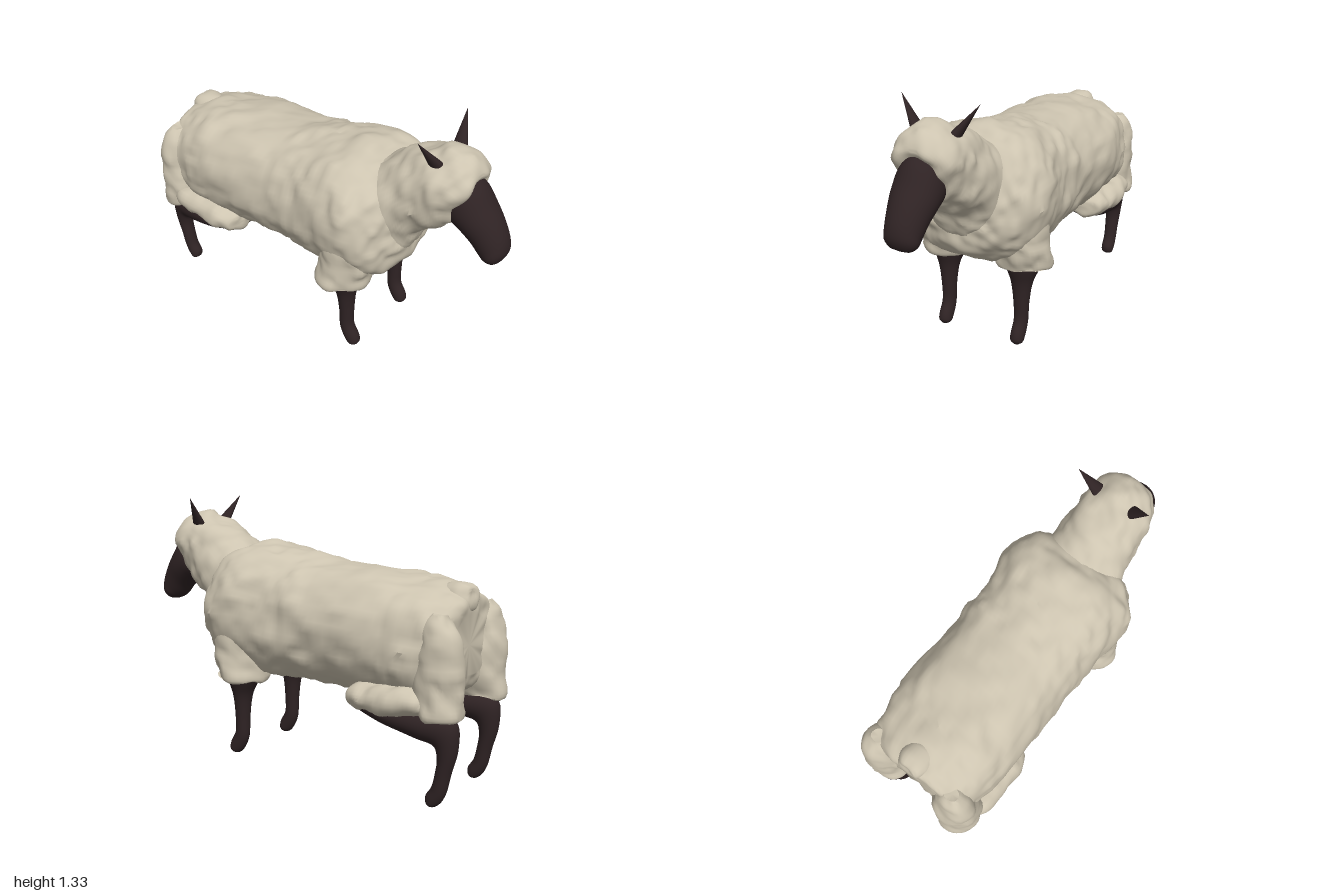
import * as THREE from 'three';
import { toCreasedNormals } from 'three/addons/utils/BufferGeometryUtils.js';

const wool = new THREE.MeshStandardMaterial({ color: 0xcdc4b0 });
wool.name = 'wool';
const skin = new THREE.MeshStandardMaterial({ color: 0x2f2324 });
skin.name = 'dark skin';

// Smooth value noise in -1..1
const hash = (x, y, z) => {
  const s = Math.sin(x * 127.1 + y * 311.7 + z * 74.7) * 43758.5453;
  return s - Math.floor(s);
};
function noise(x, y, z) {
  const f = [x, y, z].map(Math.floor);
  const t = [x - f[0], y - f[1], z - f[2]].map((v) => v * v * (3 - 2 * v));
  let sum = 0;
  for (let k = 0; k < 8; k++) {
    const d = [k & 1, (k >> 1) & 1, k >> 2];
    const w = d.reduce((p, b, i) => p * (b ? t[i] : 1 - t[i]), 1);
    sum += w * hash(f[0] + d[0], f[1] + d[1], f[2] + d[2]);
  }
  return sum * 2 - 1;
}

// Loft through sections [edgeX, edgeY, oppositeX, oppositeY, halfWidth], offset to z
function loft(sections, z = 0, rows = 32, sides = 28, power = 1) {
  const edge = new THREE.CatmullRomCurve3(sections.map((s) => new THREE.Vector3(s[0], s[1], s[4])));
  const opposite = new THREE.CatmullRomCurve3(sections.map((s) => new THREE.Vector3(s[2], s[3], 0)));
  const shaped = (v) => Math.sign(v) * Math.abs(v) ** power;
  const pos = [], index = [];
  for (let i = 0; i <= rows; i++) {
    const p = edge.getPoint(i / rows), q = opposite.getPoint(i / rows);
    for (let j = 0; j < sides; j++) {
      const a = (j / sides) * Math.PI * 2;
      const c = (1 + shaped(Math.cos(a))) / 2;
      pos.push(q.x + (p.x - q.x) * c, q.y + (p.y - q.y) * c, z + p.z * shaped(Math.sin(a)));
      if (i < rows) {
        const m = i * sides + j, n = i * sides + ((j + 1) % sides);
        index.push(m, n, m + sides, n, n + sides, m + sides);
      }
    }
  }
  // End caps
  for (const i of [0, rows]) {
    const s = sections[i ? sections.length - 1 : 0], centre = pos.length / 3;
    pos.push((s[0] + s[2]) / 2, (s[1] + s[3]) / 2, z);
    for (let j = 0; j < sides; j++) {
      const m = i * sides + j, n = i * sides + ((j + 1) % sides);
      index.push(...(i ? [m, n, centre] : [n, m, centre]));
    }
  }
  const g = new THREE.BufferGeometry();
  g.setAttribute('position', new THREE.Float32BufferAttribute(pos, 3));
  g.setIndex(index);
  g.computeVertexNormals();
  return g;
}

// Push the surface in and out into clumps of fleece
function fleece(g, amount = 0.016) {
  const p = g.attributes.position, n = g.attributes.normal;
  for (let i = 0; i < p.count; i++) {
    const x = p.getX(i), y = p.getY(i), z = p.getZ(i);
    const d = amount * (noise(x * 9, y * 9, z * 9 + 5) + 0.6 * noise(x * 22, y * 22 + 7, z * 22));
    p.setXYZ(i, x + n.getX(i) * d, y + n.getY(i) * d, z + n.getZ(i) * d);
  }
  return toCreasedNormals(g, 0.75);
}

export function createModel() {
  const sheep = new THREE.Group();
  sheep.name = 'sheep';
  const add = (name, geometry, material) => {
    const mesh = new THREE.Mesh(geometry, material);
    mesh.name = name;
    sheep.add(mesh);
    return mesh;
  };

  // Barrel of the body, rump to chest
  add('body', fleece(loft([
    [-0.92, 0.86, -0.91, 0.58, 0.16], [-0.91, 0.95, -0.88, 0.5, 0.26],
    [-0.82, 0.98, -0.8, 0.46, 0.31], [-0.6, 1.02, -0.6, 0.45, 0.34],
    [-0.2, 1.05, -0.2, 0.44, 0.325], [0, 1.08, 0, 0.44, 0.335],
    [0.2, 1.12, 0.2, 0.45, 0.355], [0.32, 1.1, 0.33, 0.46, 0.36],
    [0.42, 1.02, 0.44, 0.5, 0.31], [0.48, 0.92, 0.5, 0.59, 0.22],
    [0.5, 0.82, 0.52, 0.7, 0.1],
  ], 0, 90, 80, 0.87)), wool);

  // Neck and woolly head
  add('neck', fleece(loft([
    [0.28, 1.06, 0.4, 0.52, 0.26], [0.4, 1.12, 0.52, 0.65, 0.21],
    [0.5, 1.18, 0.57, 0.75, 0.195], [0.6, 1.23, 0.64, 0.81, 0.19],
    [0.68, 1.26, 0.69, 0.86, 0.18], [0.78, 1.23, 0.71, 0.89, 0.16],
    [0.84, 1.16, 0.73, 0.9, 0.125], [0.8, 1.08, 0.76, 0.98, 0.04],
  ], 0, 48, 52), 0.018), wool);

  // Face, brow to muzzle
  add('face', loft([
    [0.78, 1.15, 0.66, 0.98, 0.08], [0.845, 1.11, 0.7, 0.905, 0.11],
    [0.9, 1.03, 0.77, 0.87, 0.112], [0.95, 0.96, 0.83, 0.82, 0.098],
    [0.99, 0.88, 0.87, 0.775, 0.087], [1.0, 0.82, 0.9, 0.755, 0.08],
    [0.985, 0.775, 0.935, 0.745, 0.05], [0.965, 0.757, 0.955, 0.75, 0.01],
  ]), skin);

  // Tail
  const tail = loft([
    [-0.93, 0.95, -0.93, 0.92, 0.02], [-0.92, 0.99, -0.92, 0.88, 0.06],
    [-0.87, 1.015, -0.87, 0.85, 0.085], [-0.8, 0.99, -0.8, 0.87, 0.065],
    [-0.78, 0.95, -0.78, 0.92, 0.02],
  ], 0, 20, 24);
  add('tail', fleece(tail), wool);

  for (const [side, s] of [['Near', 1], ['Far', -1]]) {
    // Pointed ear
    const ear = add('ear' + side, new THREE.ConeGeometry(0.038, 0.18, 16).scale(1, 1, 0.65), skin);
    const base = new THREE.Vector3(0.655, 1.195, 0.1 * s);
    const tip = new THREE.Vector3(0.62, 1.33, 0.198 * s);
    ear.position.copy(base).lerp(tip, 0.5);
    ear.quaternion.setFromUnitVectors(new THREE.Vector3(0, 1, 0), tip.sub(base).normalize());

    // Front leg
    add('frontLeg' + side, loft([
      [0.345, 0.5, 0.15, 0.5, 0.105], [0.335, 0.43, 0.17, 0.43, 0.092],
      [0.312, 0.34, 0.213, 0.34, 0.058], [0.305, 0.22, 0.228, 0.22, 0.04],
      [0.308, 0.13, 0.235, 0.1, 0.036], [0.34, 0.07, 0.265, 0.035, 0.036],
      [0.347, 0.035, 0.29, 0.01, 0.032], [0.335, 0.012, 0.315, 0.004, 0.012],
    ], 0.212 * s), skin);

    // Woolly shoulder above the front leg
    add('frontSleeve' + side, fleece(loft([
      [0.36, 0.84, 0.2, 0.84, 0.06], [0.4, 0.74, 0.17, 0.74, 0.11],
      [0.41, 0.6, 0.14, 0.6, 0.125], [0.39, 0.5, 0.13, 0.5, 0.13],
      [0.375, 0.435, 0.13, 0.435, 0.125], [0.35, 0.45, 0.16, 0.45, 0.1],
    ], 0.228 * s, 28, 36), 0.018), wool);

    // Hind leg: thigh running back to the hock, then down to the foot
    add('hindLeg' + side, loft([
      [-0.46, 0.41, -0.46, 0.5, 0.085], [-0.6, 0.36, -0.62, 0.48, 0.098],
      [-0.78, 0.315, -0.82, 0.46, 0.08], [-0.865, 0.295, -0.96, 0.42, 0.06],
      [-0.88, 0.24, -0.975, 0.3, 0.045], [-0.872, 0.17, -0.945, 0.17, 0.038],
      [-0.855, 0.1, -0.925, 0.08, 0.036], [-0.828, 0.055, -0.9, 0.03, 0.036],
      [-0.83, 0.025, -0.875, 0.008, 0.03], [-0.842, 0.01, -0.86, 0.004, 0.01],
    ], 0.215 * s, 44), skin);

    // Woolly haunch behind
    add('haunch' + side, fleece(loft([
      [-0.84, 0.9, -0.91, 0.9, 0.04], [-0.79, 0.81, -0.96, 0.82, 0.085],
      [-0.77, 0.66, -0.985, 0.66, 0.105], [-0.77, 0.52, -0.985, 0.52, 0.105],
      [-0.79, 0.435, -0.98, 0.435, 0.1], [-0.82, 0.45, -0.95, 0.45, 0.07],
    ], 0.222 * s, 28, 32), 0.018), wool);

    // Wool over the thigh
    add('thighWool' + side, fleece(loft([
      [-0.86, 0.53, -0.86, 0.46, 0.08], [-0.8, 0.56, -0.8, 0.425, 0.12],
      [-0.65, 0.56, -0.65, 0.415, 0.13], [-0.52, 0.55, -0.51, 0.405, 0.125],
      [-0.45, 0.52, -0.445, 0.42, 0.1], [-0.44, 0.48, -0.44, 0.46, 0.03],
    ], 0.222 * s, 32, 30, 0.9), 0.018), wool);
  }
  return sheep;
}
